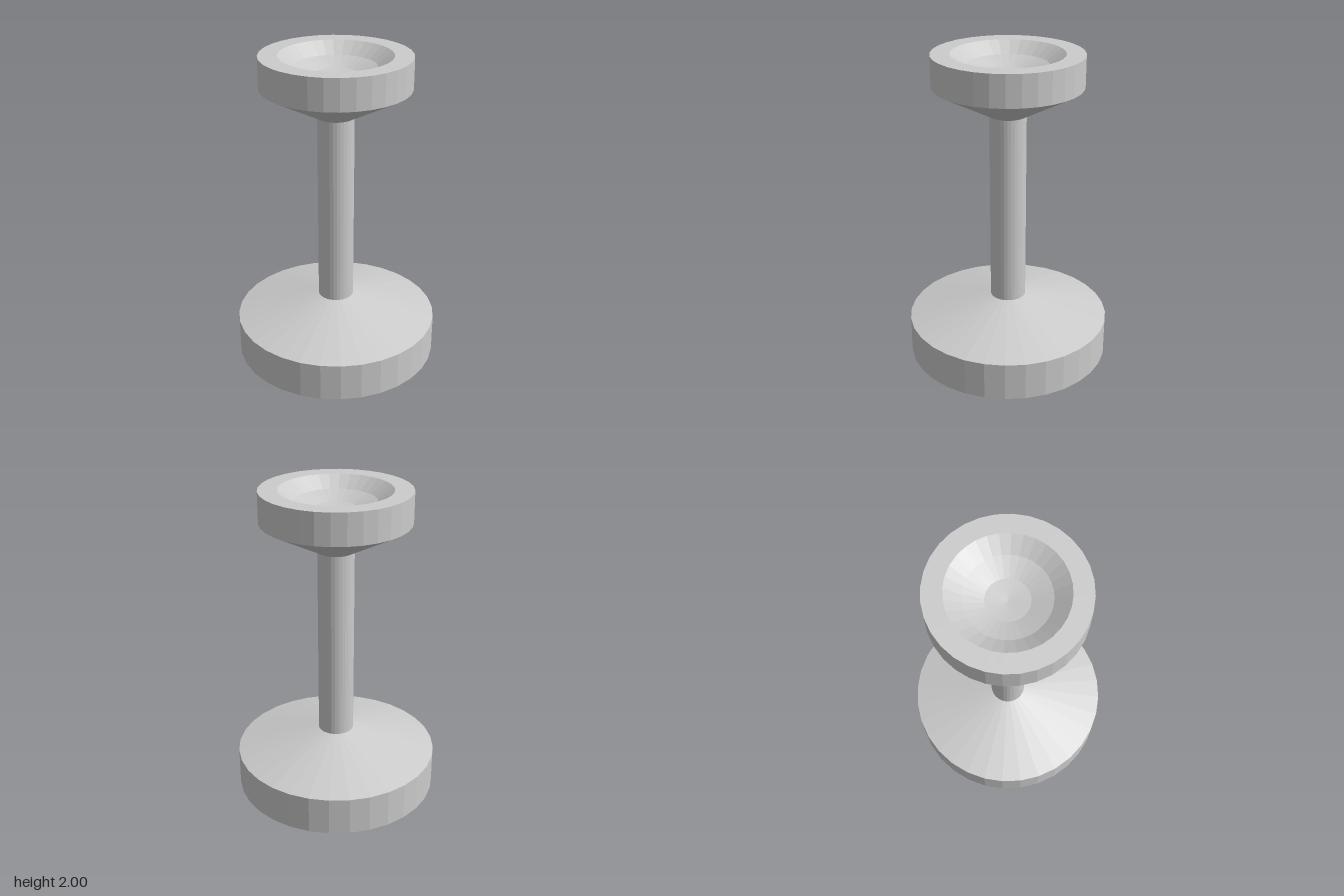
import * as THREE from 'three';

const SIDES = 32;
const material = new THREE.MeshStandardMaterial({ color: 0xcccccc, flatShading: true });

// Turned part from a [radius, height] profile, listed from the bottom up.
function turned(name, profile) {
  const points = profile.map(([r, y]) => new THREE.Vector2(r, y));
  const mesh = new THREE.Mesh(new THREE.LatheGeometry(points, SIDES), material);
  mesh.name = name;
  return mesh;
}

export function createModel() {
  const group = new THREE.Group();
  group.name = 'pedestal';

  // Heavy round foot with a shallow conical top
  group.add(turned('base', [[0, 0], [0.65, 0], [0.65, 0.246], [0.114, 0.387]]));

  // Straight column
  group.add(turned('column', [[0.114, 0.387], [0.114, 1.618]]));

  // Flared head, flat rim and shallow hollow
  group.add(turned('head', [
    [0.114, 1.618], [0.464, 1.804], [0.464, 2], [0.347, 2],
  ]));
  group.add(turned('bowl', [
    [0.347, 2], [0.25, 1.93], [0.128, 1.887], [0, 1.873],
  ]));

  return group;
}
